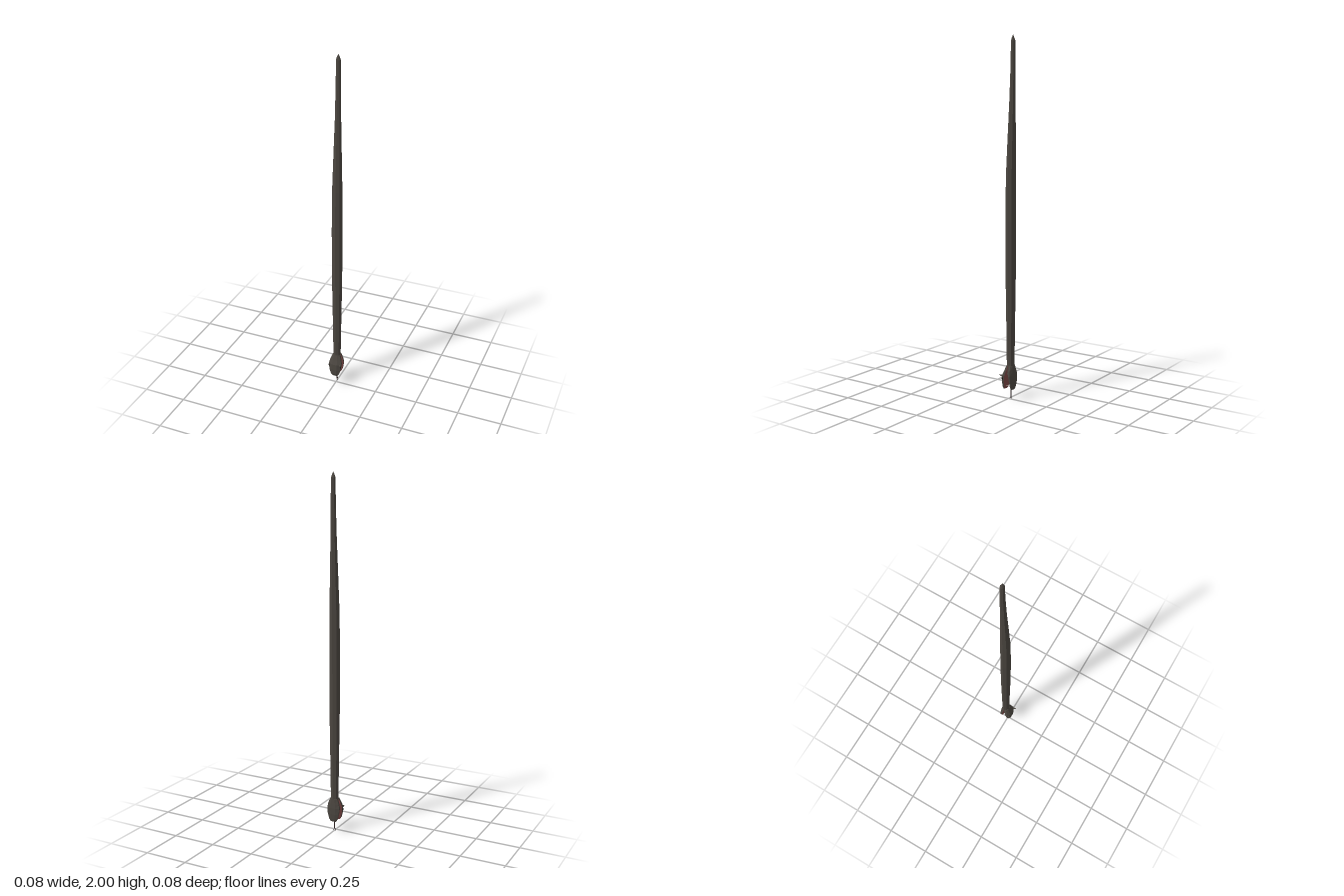
import * as THREE from 'three';

const mat = (name, color, extra = {}) => {
  const m = new THREE.MeshStandardMaterial({ color, flatShading: true, ...extra });
  m.name = name;
  return m;
};

// Closed eight-sided loft; sections run upward as [y, halfWidth, zFront, zBack].
// Facets listed in `inner` use the second material.
function loft(sections, { turn = 0, inner = [] } = {}) {
  const N = 8, k = 1 / Math.cos(turn);
  const rings = sections.map(([y, w, f, b]) => Array.from({ length: N }, (_, i) => {
    const a = (i / N) * Math.PI * 2 - turn;
    return [Math.sin(a) * w * k, y, (f + b) / 2 + Math.cos(a) * (f - b) / 2 * k];
  }));
  const centre = ([y, , f, b]) => [0, y, (f + b) / 2];
  const outer = [], lining = [];
  for (let i = 0; i < N; i++) {
    const j = (i + 1) % N;
    const out = inner.includes(i) ? lining : outer;
    for (let r = 0; r < rings.length - 1; r++) {
      const lo = rings[r], hi = rings[r + 1];
      out.push(lo[i], lo[j], hi[j], lo[i], hi[j], hi[i]);
    }
    const top = rings[rings.length - 1];
    outer.push(centre(sections[0]), rings[0][j], rings[0][i]);
    outer.push(centre(sections[sections.length - 1]), top[i], top[j]);
  }
  const g = new THREE.BufferGeometry();
  g.setAttribute('position', new THREE.Float32BufferAttribute([...outer, ...lining].flat(), 3));
  g.addGroup(0, outer.length, 0);
  g.addGroup(outer.length, lining.length, 1);
  g.computeVertexNormals();
  return g;
}

export function createModel() {
  const model = new THREE.Group();
  const skin = mat('dark scales', 0x4a453f);
  const mouth = mat('mouth lining', 0x7a4644);
  const tongueMat = mat('tongue', 0x2a1f1f, { side: THREE.DoubleSide });
  const eyeMat = mat('eye', 0x15120f);
  const fangMat = mat('fang', 0xb8b0a0);

  const add = (name, geometry, material, parent = model) => {
    const m = new THREE.Mesh(geometry, material);
    m.name = name;
    parent.add(m);
    return m;
  };

  // Long body tapering to the tail tip, belly kept straight
  add('body', loft([
    [0.145, 0.026, 0.010, -0.036],
    [0.20, 0.023, 0.006, -0.036],
    [0.40, 0.026, 0.008, -0.038],
    [0.70, 0.031, 0.012, -0.042],
    [1.00, 0.032, 0.013, -0.043],
    [1.25, 0.030, 0.010, -0.043],
    [1.45, 0.024, 0.001, -0.043],
    [1.65, 0.018, -0.009, -0.043],
    [1.82, 0.015, -0.016, -0.043],
    [1.97, 0.013, -0.019, -0.042],
    [1.985, 0.008, -0.023, -0.036],
    [2.00, 0.001, -0.029, -0.031],
  ]), [skin, skin]);

  const head = new THREE.Group();
  head.name = 'head';
  model.add(head);
  const turn = Math.PI / 8;

  // Jaws hinged open, each lined on the side facing the gap
  add('upperJaw', loft([
    [0.060, 0.018, 0.023, 0.011],
    [0.075, 0.026, 0.028, 0.006],
    [0.105, 0.034, 0.030, 0.000],
    [0.140, 0.038, 0.028, -0.008],
    [0.165, 0.033, 0.017, -0.014],
    [0.195, 0.022, 0.006, -0.018],
  ], { turn, inner: [3, 4, 5] }), [skin, mouth], head);

  add('lowerJaw', loft([
    [0.060, 0.017, -0.025, -0.036],
    [0.075, 0.026, -0.023, -0.038],
    [0.105, 0.034, -0.021, -0.040],
    [0.140, 0.038, -0.016, -0.040],
    [0.165, 0.033, -0.012, -0.038],
    [0.195, 0.022, -0.010, -0.035],
  ], { turn, inner: [7, 0, 1] }), [skin, mouth], head);

  // Brow horns, eyes and fangs
  for (const [side, s] of [['left', 1], ['right', -1]]) {
    const horn = add(side + 'BrowHorn', new THREE.ConeGeometry(0.008, 0.028, 5), skin, head);
    horn.position.set(s * 0.033, 0.138, 0.027);
    horn.rotation.set(Math.PI / 2 - 0.15, 0, -s * 0.15);

    const eye = add(side + 'Eye', new THREE.SphereGeometry(0.006, 8, 6), eyeMat, head);
    eye.scale.x = 0.5;
    eye.position.set(s * 0.036, 0.123, 0.016);

    const fang = add(side + 'Fang', new THREE.ConeGeometry(0.0025, 0.018, 5), fangMat, head);
    fang.position.set(s * 0.012, 0.08, 0.0);
    fang.rotation.x = -Math.PI / 2;
  }

  // Thin forked tongue reaching past the jaws
  const fork = new THREE.Shape([
    [-0.003, 0.15], [-0.003, 0.028], [-0.005, 0], [0, 0.02],
    [0.005, 0], [0.003, 0.028], [0.003, 0.15],
  ].map(([x, y]) => new THREE.Vector2(x, y)));
  const tongue = add('tongue', new THREE.ExtrudeGeometry(fork, { depth: 0.002, bevelEnabled: false }), tongueMat, head);
  tongue.position.z = -0.018;

  return model;
}
